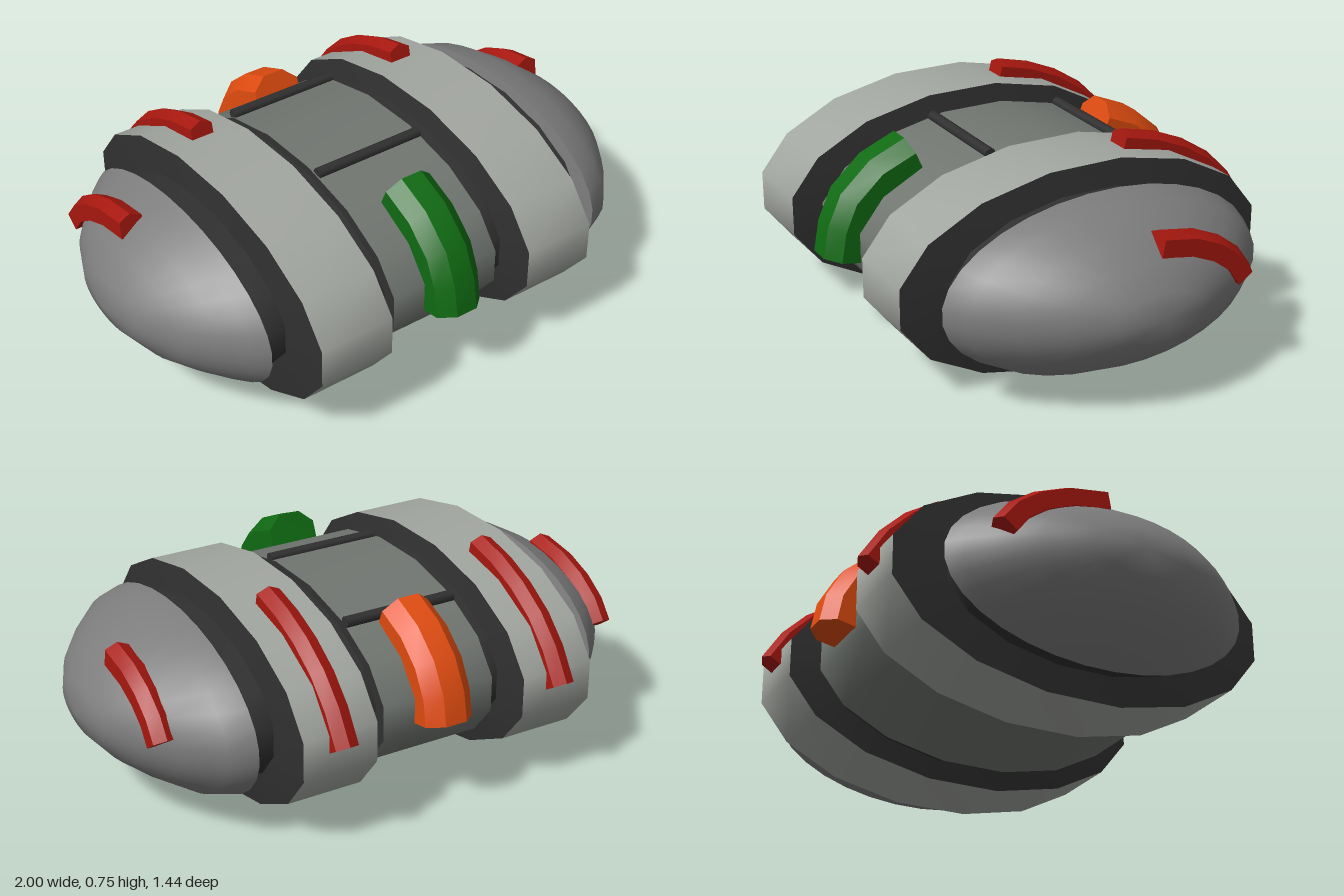
import * as THREE from 'three';
import { toCreasedNormals } from 'three/addons/utils/BufferGeometryUtils.js';

const CENTRE_Y = 0.355, CENTRE_Z = 0.014, FLATTEN = 0.523;
const mat = (color) => new THREE.MeshStandardMaterial({ color });
const shell = mat(0x7c7c7c), light = mat(0xa2a6a0), middle = mat(0x717671), dark = mat(0x303030);
const red = mat(0xa8180f), green = mat(0x0f6a12), orange = mat(0xe04c10);

export function createModel() {
  const model = new THREE.Group();

  const add = (name, geometry, material) => {
    const mesh = new THREE.Mesh(geometry, material);
    mesh.name = name;
    model.add(mesh);
    return mesh;
  };

  // Flattened round section along x; profile is [x, radius] with x increasing
  const hull = (name, profile, material, sides = 16) => {
    const points = profile.map(([x, r]) => new THREE.Vector2(r, x));
    const lathe = new THREE.LatheGeometry(points, sides, Math.PI / sides);
    const g = toCreasedNormals(lathe, 0.6);
    g.rotateZ(-Math.PI / 2).scale(1, FLATTEN, 1).translate(0, CENTRE_Y, CENTRE_Z);
    add(name, g, material);
  };

  // Curved bar in the z-y plane; path holds [z, y] of its outer crest
  const strip = (name, x, path, section, material) => {
    const n = section.length, last = path.length - 1;
    const rings = path.map(([z, y], i) => {
      const a = path[Math.max(i - 1, 0)], b = path[Math.min(i + 1, last)];
      const len = Math.hypot(b[0] - a[0], b[1] - a[1]);
      const nz = (b[1] - a[1]) / len, ny = -(b[0] - a[0]) / len;
      return section.map(([u, v]) => [x + u, y + ny * v, z + nz * v]);
    });
    const pos = [];
    const tri = (...corners) => corners.forEach((c) => pos.push(...c));
    for (let i = 0; i < last; i++) {
      for (let j = 0; j < n; j++) {
        const k = (j + 1) % n;
        tri(rings[i][j], rings[i][k], rings[i + 1][k]);
        tri(rings[i][j], rings[i + 1][k], rings[i + 1][j]);
      }
    }
    for (let j = 1; j < n - 1; j++) {
      tri(rings[0][0], rings[0][j + 1], rings[0][j]);
      tri(rings[last][0], rings[last][j], rings[last][j + 1]);
    }
    const g = new THREE.BufferGeometry();
    g.setAttribute('position', new THREE.Float32BufferAttribute(pos, 3));
    add(name, toCreasedNormals(g, 0.45), material);
  };

  // Domed ends with a sharp rim
  hull('rightEndCap', [[-1, 0], [-0.97, 0.165], [-0.9, 0.325], [-0.82, 0.43], [-0.75, 0.505], [-0.7, 0.55], [-0.688, 0.49]], shell, 32);
  hull('leftEndCap', [[0.612, 0.5], [0.62, 0.585], [0.71, 0.545], [0.82, 0.425], [0.9, 0.31], [0.965, 0.165], [0.995, 0]], shell, 32);

  // Broad pale rings and the centre section
  hull('rightRing', [[-0.6, 0.69], [-0.325, 0.69]], light);
  hull('leftRing', [[0.245, 0.69], [0.515, 0.69]], light);
  hull('centreSection', [[-0.255, 0.605], [0.17, 0.605]], middle);

  // Dark grooves, including the side walls of the rings
  hull('rightOuterGroove', [[-0.7, 0.503], [-0.612, 0.503], [-0.6, 0.69]], dark);
  hull('rightInnerGroove', [[-0.325, 0.69], [-0.31, 0.556], [-0.257, 0.556], [-0.255, 0.605]], dark);
  hull('leftInnerGroove', [[0.17, 0.605], [0.172, 0.556], [0.23, 0.556], [0.245, 0.69]], dark);
  hull('leftOuterGroove', [[0.515, 0.69], [0.53, 0.52], [0.625, 0.52]], dark);

  // Cross bars on top of the centre section
  for (const [z, y] of [[-0.335, 0.622], [0.175, 0.66]]) {
    const bar = add('crossBar', new THREE.CylinderGeometry(0.02, 0.02, 0.42, 8), dark);
    bar.rotation.z = Math.PI / 2;
    bar.position.set(-0.04, y, z);
  }

  // Narrow red strips with a ridged crest
  const ridge = [[-0.042, -0.065], [-0.042, -0.02], [0, 0], [0.042, -0.02], [0.042, -0.065]];
  const ringPath = [[-0.205, 0.75], [-0.33, 0.72], [-0.45, 0.67], [-0.56, 0.6], [-0.65, 0.51], [-0.72, 0.4]];
  strip('rightRingStrip', -0.46, ringPath, ridge, red);
  strip('leftRingStrip', 0.38, ringPath, ridge, red);
  const capPath = [[-0.045, 0.6], [-0.17, 0.578], [-0.27, 0.535], [-0.35, 0.475], [-0.4, 0.405]];
  const capRidge = ridge.map(([u, v]) => [u, v < -0.05 ? -0.08 : v]);
  strip('leftCapStrip', 0.853, capPath, capRidge, red);
  strip('rightCapStrip', -0.835, capPath.map(([z, y]) => [z * 1.09, y + 0.02]), capRidge, red);

  // Wide chamfered grips at the front and back of the centre
  const grip = [[-0.09, -0.13], [-0.09, -0.045], [-0.04, 0], [0.04, 0], [0.09, -0.045], [0.09, -0.13]];
  strip('frontGrip', -0.04, [[0.72, 0.33], [0.7, 0.44], [0.65, 0.55], [0.54, 0.65], [0.41, 0.705]], grip, green);
  strip('backGrip', -0.04, [[-0.39, 0.69], [-0.51, 0.64], [-0.61, 0.555], [-0.67, 0.45], [-0.69, 0.35]], grip, orange);

  return model;
}
